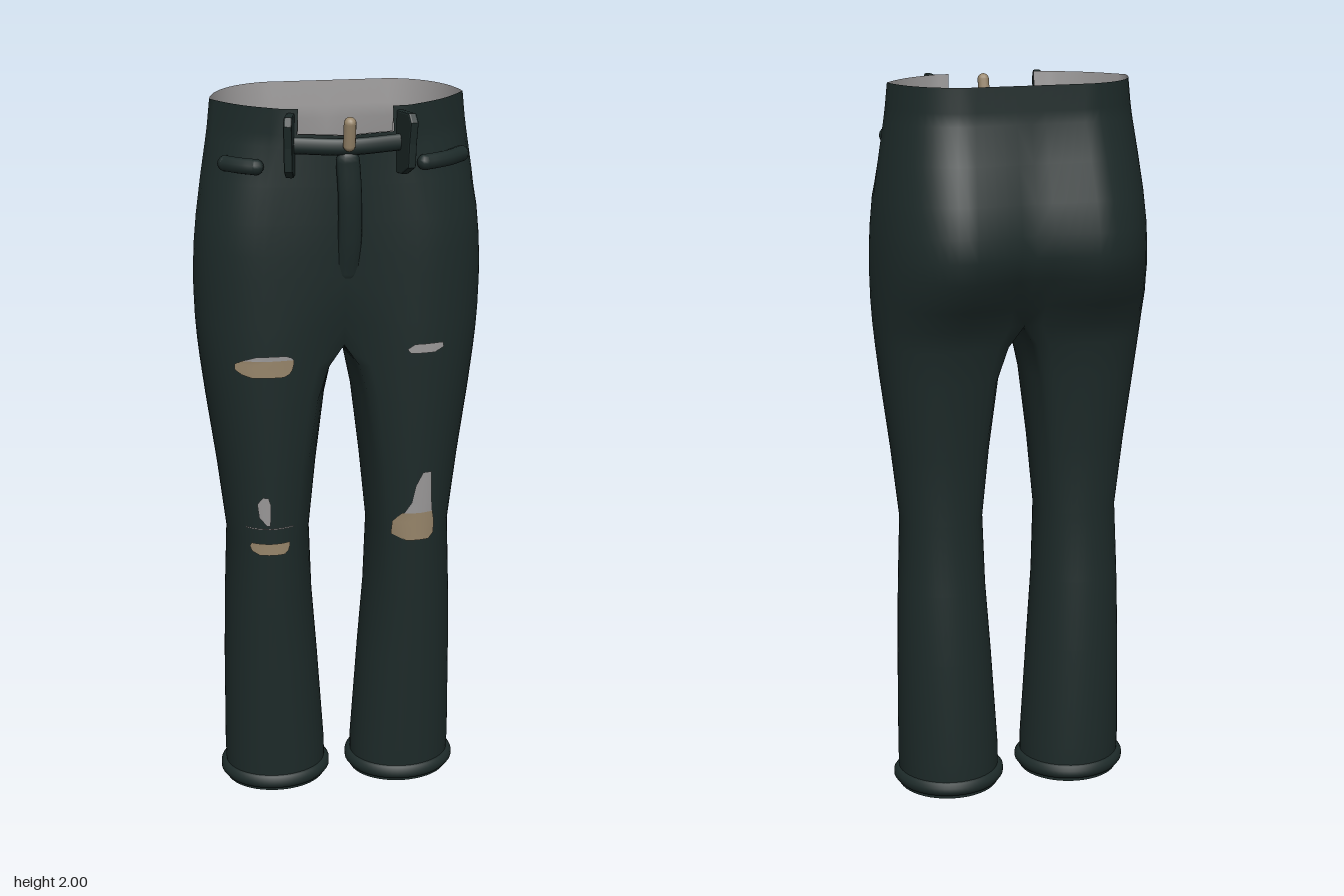
import * as THREE from 'three';
import { mergeGeometries, mergeVertices } from 'three/addons/utils/BufferGeometryUtils.js';

const mat = (name, color, side = THREE.FrontSide) => {
  const m = new THREE.MeshStandardMaterial({ color, side });
  m.name = name;
  return m;
};

// Half-body sections: y, outer x, inner x, front z, back z, inner squareness, centre front and back offsets
const SECTIONS = [
  [0, 0.325, 0.04, 0.128, -0.132, 0, 0, 0],
  [0.1, 0.328, 0.04, 0.132, -0.135, 0, 0, 0],
  [0.4, 0.325, 0.06, 0.14, -0.125, 0, 0, 0],
  [0.6, 0.32, 0.075, 0.148, -0.11, 0, 0, 0],
  [0.8, 0.312, 0.082, 0.155, -0.095, 0.05, 0, 0],
  [1.0, 0.335, 0.062, 0.163, -0.11, 0.1, 0, 0],
  [1.2, 0.362, 0.038, 0.168, -0.13, 0.3, 0, 0],
  [1.3, 0.374, 0.018, 0.17, -0.148, 0.55, -0.01, 0.01],
  [1.36, 0.38, 0, 0.172, -0.165, 1, -0.03, 0.03],
  [1.42, 0.384, 0, 0.172, -0.205, 1, -0.015, 0.045],
  [1.5, 0.386, 0, 0.172, -0.25, 1, 0, 0.035],
  [1.56, 0.385, 0, 0.172, -0.261, 1, 0.004, 0.026],
  [1.62, 0.382, 0, 0.172, -0.258, 1, 0.01, 0.02],
  [1.7, 0.374, 0, 0.17, -0.24, 1, 0.018, 0.016],
  [1.8, 0.36, 0, 0.164, -0.21, 1, 0.028, 0.01],
  [1.9, 0.344, 0, 0.158, -0.182, 1, 0.036, 0],
  [1.935, 0.339, 0, 0.157, -0.18, 1, 0.038, 0],
  [2.0, 0.332, 0, 0.155, -0.178, 1, 0.038, 0],
];
const N = 48, CROTCH = 1.36, WIDEST_Z = 0.01;

// Interpolated section at a height
function sectionAt(y) {
  let i = 0;
  while (i < SECTIONS.length - 2 && SECTIONS[i + 1][0] < y) i++;
  const a = SECTIONS[i], b = SECTIONS[i + 1];
  const t = THREE.MathUtils.clamp((y - a[0]) / (b[0] - a[0]), 0, 1);
  return a.map((v, k) => v + (b[k] - v) * t);
}

// Closed loop of [x, z] around one half; the inner side squares off towards the centre line
function ring(y, inset = 0) {
  const [, out, inn, f, b, q, df, db] = sectionAt(y);
  const x0 = inn + inset * (1 - q), x1 = out - inset;
  const cx = (x1 + x0) / 2, a = (x1 - x0) / 2;
  // Hips and waist narrow at their corners
  const frontPinch = 0.65 * THREE.MathUtils.smoothstep(y, 1.7, 1.96);
  const backPinch = 0.15 * THREE.MathUtils.smoothstep(y, 1.36, 1.55);
  return Array.from({ length: N }, (_, j) => {
    const t = (j / N) * Math.PI * 2;
    let c = Math.cos(t), s = Math.sin(t), k = 1;
    if (c < -1e-6) k = 1 + q * (1 / Math.max(Math.abs(c), Math.abs(s)) - 1);
    else k = 1 + (s > 0 ? frontPinch : backPinch) * (1 / (c + Math.abs(s)) - 1);
    c *= k;
    s *= k;
    const x = cx + a * c;
    const w = Math.max(0, 1 - x / cx) ** 1.5;
    const depth = s > 0 ? f - WIDEST_Z - inset : WIDEST_Z - b - inset;
    return [Math.abs(x) < 1e-6 ? 0 : x, WIDEST_Z + depth * s + s * w * (s > 0 ? df : -db)];
  });
}

// Front surface depth at (x, y)
function frontZ(x, y) {
  const r = ring(y), ax = Math.abs(x);
  for (let j = 0; j < N / 2; j++) {
    const [x0, z0] = r[j], [x1, z1] = r[j + 1];
    if (ax <= x0 && ax >= x1 && x0 > x1) return z0 + (z1 - z0) * (x0 - ax) / (x0 - x1);
  }
  return r[N / 4][1];
}

function surface(points, index) {
  const g = new THREE.BufferGeometry();
  g.setAttribute('position', new THREE.Float32BufferAttribute(points, 3));
  g.setIndex(index);
  return g;
}

// Skin of one half through the given heights, open along the centre and at the front of the waist
function half(side, ys, insetAt) {
  const p = [], idx = [];
  ys.forEach(y => ring(y, insetAt(y)).forEach(([x, z]) => p.push(side * x, y, z)));
  for (let i = 0; i < ys.length - 1; i++) {
    for (let j = 0; j < N; j++) {
      if (ys[i] >= CROTCH && j >= N * 3 / 8 && j < N * 5 / 8) continue;
      if (ys[i] >= 1.93 && j >= 14 && j < 18) continue;
      const k = (j + 1) % N;
      const a = i * N + j, b = i * N + k, c = b + N, d = a + N;
      if (side > 0) idx.push(a, d, c, a, c, b);
      else idx.push(a, c, d, a, b, c);
    }
  }
  return surface(p, idx);
}

function shell(ys, insetAt = () => 0) {
  const g = mergeVertices(mergeGeometries([half(1, ys, insetAt), half(-1, ys, insetAt)]), 1e-5);
  g.computeVertexNormals();
  return g;
}

// Thin patch on the front from rows of y, x0, x1
function patch(rows) {
  const p = [], idx = [], C = 8;
  rows.forEach(([y, x0, x1]) => {
    for (let c = 0; c <= C; c++) {
      const x = x0 + (x1 - x0) * c / C;
      p.push(x, y, frontZ(x, y) + 0.005);
    }
  });
  for (let i = 0; i < rows.length - 1; i++) {
    for (let c = 0; c < C; c++) {
      const a = i * (C + 1) + c, d = a + C + 1;
      idx.push(a, a + 1, d + 1, a, d + 1, d);
    }
  }
  const g = surface(p, idx);
  g.computeVertexNormals();
  return g;
}

// Round-ended roll of cloth along a path
function roll(points, r) {
  const v = points.map(p => new THREE.Vector3(...p));
  const ends = [v[0], v[v.length - 1]].map(e => new THREE.SphereGeometry(r, 10, 8).translate(e.x, e.y, e.z));
  return mergeGeometries([new THREE.TubeGeometry(new THREE.CatmullRomCurve3(v), 20, r, 10), ...ends]);
}

// Flat fin standing out from the waistband, drawn as [depth, y] and swung slightly outwards
function beltLoop(side) {
  const outline = [[-0.005, 1.83], [0.03, 1.835], [0.075, 1.86], [0.08, 1.92], [0.09, 1.975], [0.075, 1.992], [-0.003, 1.985]];
  const shape = new THREE.Shape(outline.map(([d, y]) => new THREE.Vector2(d, y)));
  return new THREE.ExtrudeGeometry(shape, { depth: 0.012, bevelSize: 0.004, bevelThickness: 0.005, bevelSegments: 2 })
    .translate(0, 0, -0.006)
    .rotateY(-Math.PI / 2 + side * 0.2)
    .translate(side * 0.142, 0, 0.164);
}

export function createModel() {
  const model = new THREE.Group();
  model.name = 'trousers';
  const cloth = mat('dark cloth', 0x1d2a29, THREE.DoubleSide);
  const lining = mat('grey lining', 0x9b9999, THREE.DoubleSide);
  const tan = mat('tan', 0x98866b, THREE.DoubleSide);
  const add = (name, geometry, material) => {
    const m = new THREE.Mesh(geometry, material);
    m.name = name;
    model.add(m);
  };

  // Body, waist lining and the hem turned inwards
  add('trouserBody', shell(SECTIONS.map(s => s[0])), cloth);
  add('waistLining', shell([1.7, 1.8, 1.9, 1.935, 2.0], y => (2 - y) * 0.11), lining);
  add('turnedHem', shell([0.02, 0.035, 0.05], y => (0.05 - y) * 2.05), cloth);

  for (const s of [1, -1]) {
    const side = s > 0 ? 'left' : 'right';
    const hem = ring(0.03, 0.006).filter((_, j) => j % 2 === 0).map(([x, z]) => new THREE.Vector3(s * x, 0.03, z));
    add(side + 'Cuff', new THREE.TubeGeometry(new THREE.CatmullRomCurve3(hem, true), 64, 0.022, 10, true), cloth);
    add(side + 'BeltLoop', beltLoop(s), cloth);
    // Pocket edge follows the hip
    const pocketXs = s > 0 ? [0.205, 0.24, 0.275, 0.315] : [0.23, 0.255, 0.28, 0.302];
    add(side + 'PocketEdge', roll(pocketXs.map(x => [s * x, 1.853, frontZ(x, 1.853) + 0.016]), 0.021), cloth);
  }

  // Front band, fly and fastener, flattened against the cloth
  const band = roll([[-0.14, 1.912, -0.025], [0, 1.908, 0.005], [0.14, 1.912, -0.025]], 0.022);
  add('frontBand', band.scale(1, 1, 0.6).translate(0, 0, 0.198), cloth);
  const fly = roll([[0.005, 1.575, -0.024], [0.008, 1.66, 0.01], [0.006, 1.78, 0.038], [0, 1.87, 0.044]], 0.031);
  add('fly', fly.scale(1, 1, 0.5).translate(0, 0, 0.177), cloth);
  const button = new THREE.CapsuleGeometry(0.016, 0.06, 6, 12);
  button.rotateX(0.2).translate(0, 1.946, 0.228);
  add('button', button, tan);

  // Tears over the thighs and knees
  add('rightThighTear', patch([[1.288, -0.25, -0.165], [1.296, -0.275, -0.15], [1.308, -0.293, -0.142],
    [1.325, -0.293, -0.138], [1.335, -0.275, -0.138]]), tan);
  add('rightThighTearEdge', patch([[1.335, -0.275, -0.138], [1.342, -0.255, -0.145], [1.348, -0.235, -0.16]]), lining);
  add('leftThighTear', patch([[1.338, 0.175, 0.24], [1.35, 0.165, 0.265], [1.364, 0.185, 0.262]]), lining);
  add('rightKneeTear', patch([[0.765, -0.235, -0.165], [0.775, -0.255, -0.155],
    [0.79, -0.26, -0.15], [0.8, -0.255, -0.15]]), tan);
  add('rightKneeSlit', patch([[0.843, -0.27, -0.14], [0.847, -0.27, -0.14]]), lining);
  add('rightKneeHole', patch([[0.855, -0.215, -0.205], [0.88, -0.235, -0.204],
    [0.92, -0.24, -0.204], [0.94, -0.225, -0.21]]), lining);
  add('leftKneeTear', patch([[0.785, 0.17, 0.235], [0.8, 0.132, 0.25],
    [0.84, 0.135, 0.25], [0.868, 0.16, 0.245]]), tan);
  add('leftKneeHole', patch([[0.868, 0.165, 0.245], [0.9, 0.185, 0.242],
    [0.95, 0.195, 0.24], [0.99, 0.215, 0.238]]), lining);

  return model;
}
